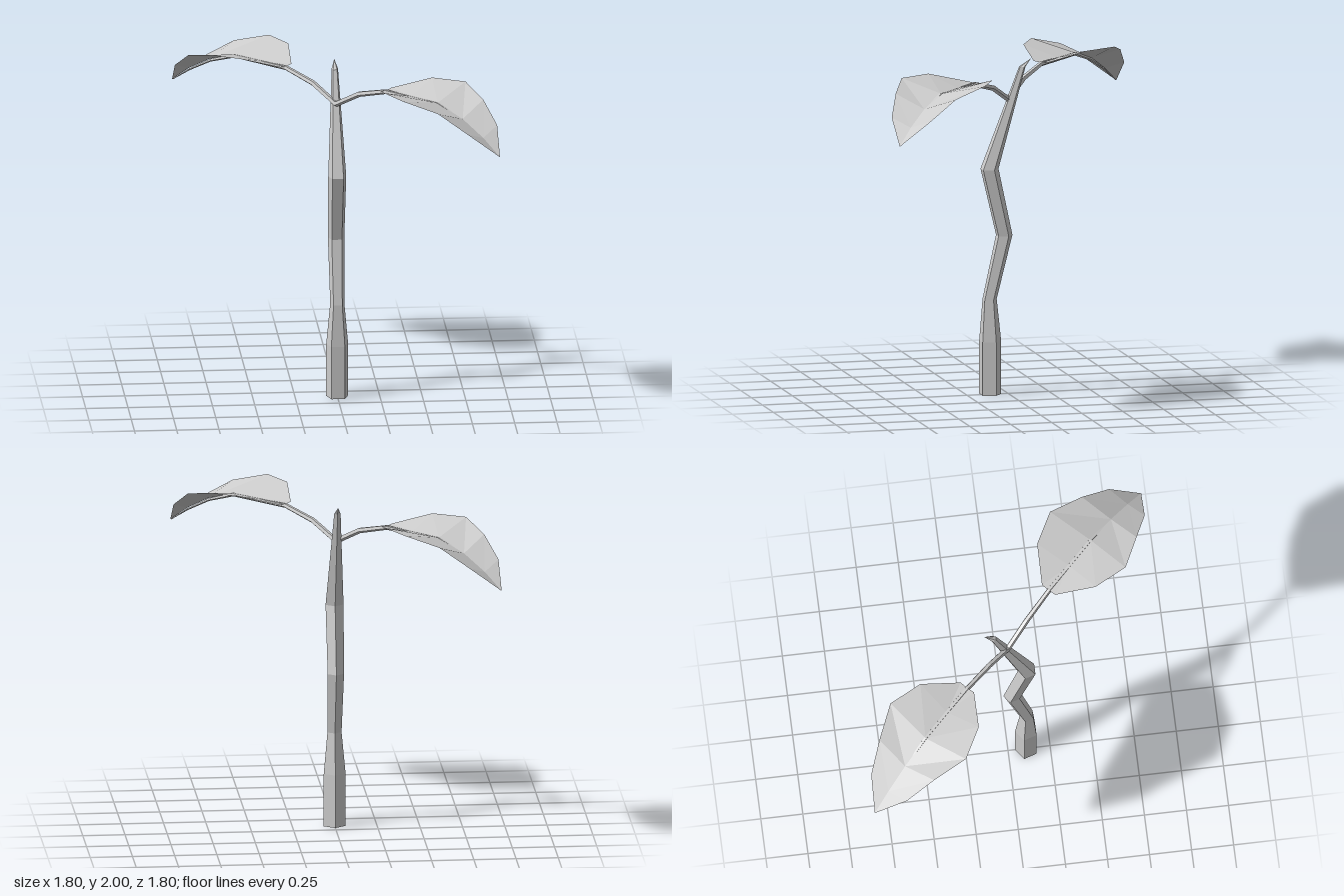
import * as THREE from 'three';

const material = new THREE.MeshStandardMaterial({ color: 0xcccccc, flatShading: true });
const leafMaterial = new THREE.MeshStandardMaterial({ color: 0xcccccc, flatShading: true, side: THREE.DoubleSide });
const SIDES = 5;

function buildMesh(name, points, index, mat) {
  const indexed = new THREE.BufferGeometry().setFromPoints(points);
  indexed.setIndex(index);
  const geometry = indexed.toNonIndexed();
  geometry.computeVertexNormals();
  const mesh = new THREE.Mesh(geometry, mat);
  mesh.name = name;
  return mesh;
}

// Pentagon in the plane of p and q, counter-clockwise about p x q
function ring(center, p, q, r) {
  return Array.from({ length: SIDES }, (_, i) => {
    const a = (i + 0.5) * Math.PI * 2 / SIDES;
    return center.clone().addScaledVector(p, r * Math.cos(a)).addScaledVector(q, r * Math.sin(a));
  });
}

// Skin a list of rings and close both ends
function loft(name, rings) {
  const index = [];
  for (let j = 0; j < rings.length - 1; j++) {
    for (let i = 0; i < SIDES; i++) {
      const k = (i + 1) % SIDES, a = j * SIDES, b = a + SIDES;
      index.push(a + i, a + k, b + k, a + i, b + k, b + i);
    }
  }
  const end = (rings.length - 1) * SIDES;
  for (let i = 1; i < SIDES - 1; i++) {
    index.push(0, i + 1, i, end, end + i, end + i + 1);
  }
  return buildMesh(name, rings.flat(), index, material);
}

// Crooked trunk: height, z of the centre, radius
function createTrunk() {
  const p = new THREE.Vector3(0, 0, 1), q = new THREE.Vector3(1, 0, 0);
  const sections = [
    [0, 0.11, 0.068], [0.32, 0.11, 0.068], [0.57, 0.113, 0.044], [0.95, 0.024, 0.051],
    [1.35, 0.114, 0.056], [1.955, -0.087, 0.02], [2, -0.138, 0.001],
  ];
  return loft('trunk', sections.map(([y, z, r]) => ring(new THREE.Vector3(0, y, z), p, q, r)));
}

// Arching stalk that runs on under the leaf as its midrib: distance, height, radius
function createStalk() {
  const path = [
    [0, 1.765, 0.017], [0.18, 1.86, 0.017], [0.39, 1.915, 0.015], [0.79, 1.914, 0.012],
    [0.98, 1.85, 0.009], [1.14, 1.765, 0.006], [1.268, 1.681, 0.002],
  ];
  const side = new THREE.Vector3(0, 0, 1);
  return loft('stalk', path.map(([x, y, r], i) => {
    const before = path[Math.max(i - 1, 0)], after = path[Math.min(i + 1, path.length - 1)];
    const normal = new THREE.Vector3(before[1] - after[1], after[0] - before[0], 0).normalize();
    return ring(new THREE.Vector3(x, y, 0), normal, side, r);
  }));
}

// Leaf folded along its midrib: edge distance, half width, edge height, midrib distance, midrib height
function createLeaf() {
  const rows = [
    [0.389, 0.05, 1.928, 0.389, 1.922], [0.559, 0.219, 1.985, 0.585, 1.922],
    [0.764, 0.283, 1.985, 0.79, 1.92], [0.969, 0.205, 1.93, 0.985, 1.858],
    [1.138, 0.134, 1.82, 1.145, 1.772], [1.273, 0.002, 1.68, 1.273, 1.68],
  ];
  const points = [], index = [];
  rows.forEach(([edgeX, half, edgeY, midX, midY], j) => {
    points.push(
      new THREE.Vector3(edgeX, edgeY, -half),
      new THREE.Vector3(midX, midY, 0),
      new THREE.Vector3(edgeX, edgeY, half));
    if (j === rows.length - 1) return;
    const a = j * 3, b = a + 3;
    index.push(a, a + 1, b + 1, a, b + 1, b);
    index.push(a + 1, a + 2, b + 1, a + 2, b + 2, b + 1);
  });
  return buildMesh('leaf', points, index, leafMaterial);
}

export function createModel() {
  const model = new THREE.Group();
  model.name = 'sapling';
  model.add(createTrunk());
  // Two opposite leaf branches on the diagonal
  [['frontBranch', -Math.PI / 4], ['backBranch', Math.PI * 3 / 4]].forEach(([name, turn]) => {
    const branch = new THREE.Group();
    branch.name = name;
    branch.add(createStalk(), createLeaf());
    branch.rotation.y = turn;
    model.add(branch);
  });
  return model;
}
